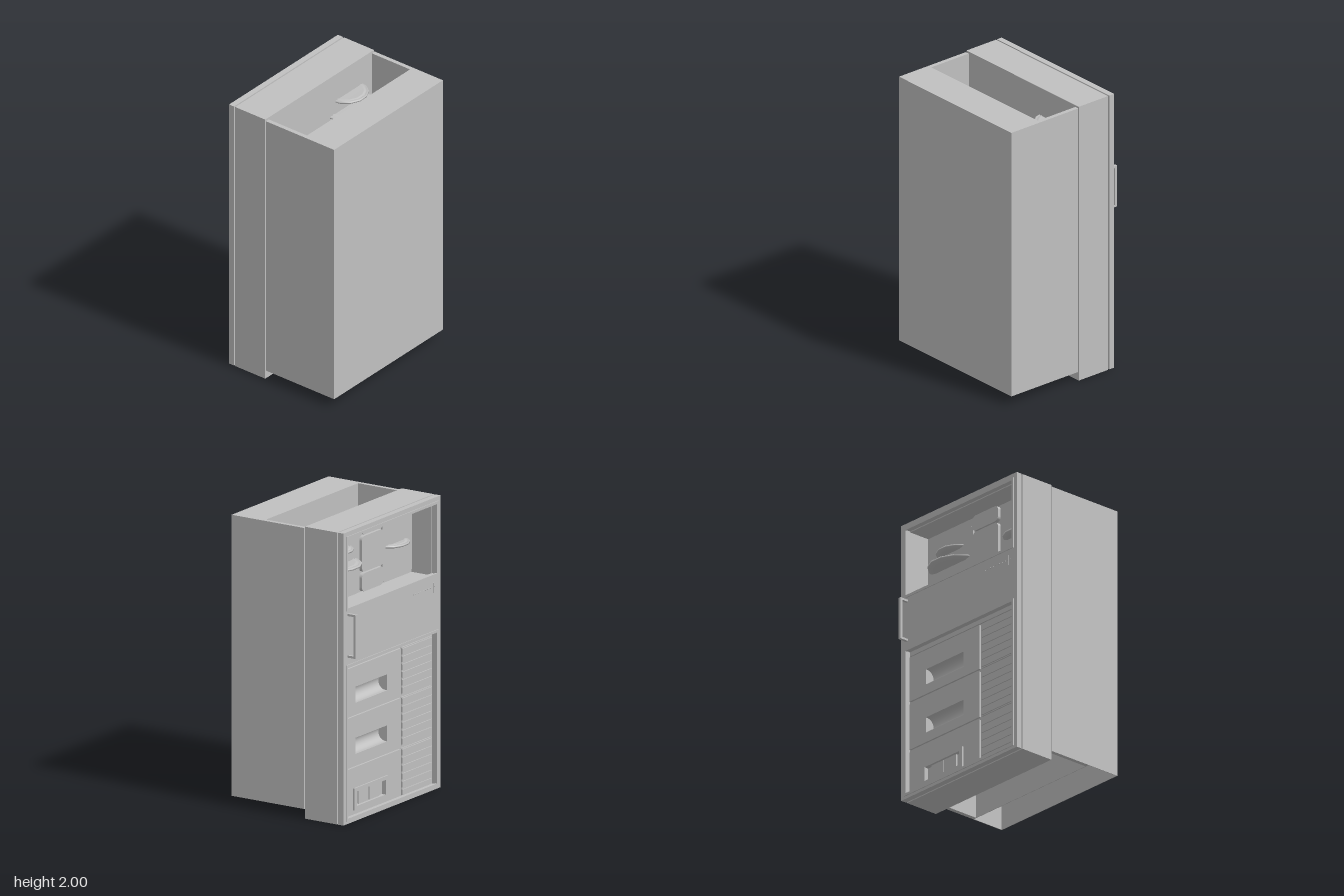
import * as THREE from 'three';

export function createModel() {
  const model = new THREE.Group();
  const grey = new THREE.MeshStandardMaterial({ color: 0xc0c0c0, side: THREE.DoubleSide });
  grey.name = 'cabinet grey';

  const add = (geometry, name, x = 0, y = 0, z = 0) => {
    const mesh = new THREE.Mesh(geometry, grey);
    mesh.name = name;
    mesh.position.set(x, y, z);
    model.add(mesh);
    return mesh;
  };
  // Box given by its limits on each axis
  const box = (name, x0, x1, y0, y1, z0, z1) =>
    add(new THREE.BoxGeometry(x1 - x0, y1 - y0, z1 - z0), name, (x0 + x1) / 2, (y0 + y1) / 2, (z0 + z1) / 2);
  const trace = (path, [x0, x1, y0, y1]) => {
    path.moveTo(x0, y0).lineTo(x1, y0).lineTo(x1, y1).lineTo(x0, y1).closePath();
    return path;
  };
  // Upright slab with rectangular openings
  const slab = (name, rect, holes, z0, z1) => {
    const shape = trace(new THREE.Shape(), rect);
    holes.forEach(h => shape.holes.push(trace(new THREE.Path(), h)));
    return add(new THREE.ExtrudeGeometry(shape, { depth: z1 - z0, bevelEnabled: false }), name, 0, 0, z0);
  };
  // Upright plate with rounded corners
  const roundedPlate = (name, x0, x1, y0, y1, z0, z1, r = 0.03) => {
    const s = new THREE.Shape();
    s.absarc(x1 - r, y1 - r, r, 0, Math.PI / 2);
    s.absarc(x0 + r, y1 - r, r, Math.PI / 2, Math.PI);
    s.absarc(x0 + r, y0 + r, r, Math.PI, Math.PI * 1.5);
    s.absarc(x1 - r, y0 + r, r, Math.PI * 1.5, Math.PI * 2);
    return add(new THREE.ExtrudeGeometry(s, { depth: z1 - z0, bevelEnabled: false, curveSegments: 4 }), name, 0, 0, z0);
  };

  // Rear casing: hollow housing, open underneath, with two side panels
  const t = 0.004;
  box('casingOuterWall', -0.57, 0.57, 0.065, 1.99, 0.48 - t, 0.48);
  box('casingInnerWall', -0.57, 0.57, 0.065, 1.99, 0.225, 0.225 + t);
  box('casingTop', -0.57, 0.57, 1.99 - t, 1.99, 0.225 + t, 0.48 - t);
  for (const s of [-1, 1]) {
    const a = s * 0.57, b = s * (0.57 - t), c = s * 0.54;
    box('casingEnd', Math.min(a, b), Math.max(a, b), 0.065, 1.99 - t, 0.225 + t, 0.48 - t);
    box('casingSidePanel', Math.min(a, c), Math.max(a, c), 0.065, 1.99, -0.1, 0.225);
  }

  // Main body with a window bay and drawer grips
  const bay = [-0.54, 0.54, 1.45, 1.96];
  const grips = [[0, 0.37, 0.79, 0.90], [0, 0.37, 0.44, 0.55], [0.02, 0.38, 0.08, 0.19]];
  slab('bodyFrame', [-0.57, 0.57, 0, 2], [bay, ...grips], -0.36, -0.2);
  box('bodyBack', -0.57, 0.57, 0, 2, -0.2, -0.105);

  // Door frame, with raised rims around its two openings
  const upper = [-0.53, 0.53, 1.47, 1.96], lower = [-0.53, 0.53, 0.03, 1.08];
  slab('doorFrame', [-0.57, 0.57, 0, 2], [upper, lower], -0.412, -0.37);
  for (const [x0, x1, y0, y1] of [upper, lower])
    slab('openingRim', [x0 - 0.01, x1 + 0.01, y0 - 0.01, y1 + 0.01],
      [[x0 + 0.008, x1 - 0.008, y0 + 0.008, y1 - 0.008]], -0.418, -0.405);

  // Three drawers, each with a grip opening and a slatted vent
  [[0.72, 1.04], [0.37, 0.70], [0.02, 0.35]].forEach(([y0, y1], i) => {
    slab('drawerFront', [-0.16, 0.53, y0, y1], [grips[i]], -0.374, -0.36);
    box('ventPanel', -0.53, -0.175, y0, y1, -0.368, -0.36);
    const step = (y1 - y0) / 6;
    for (let k = 0; k < 6; k++)
      box('ventSlat', -0.525, -0.18, y0 + k * step + 0.007, y0 + (k + 1) * step - 0.007, -0.376, -0.368);
  });
  box('drawerHeader', -0.53, 0.53, 1.05, 1.1, -0.37, -0.36);

  // Curved grips of the upper two drawers
  for (const [x0, x1, y0, y1] of grips.slice(0, 2)) {
    const scoop = new THREE.CylinderGeometry(0.055, 0.055, x1 - x0, 12, 1, true, -Math.PI / 2, Math.PI);
    scoop.rotateZ(Math.PI / 2);
    add(scoop, 'gripScoop', (x0 + x1) / 2, (y0 + y1) / 2, -0.36);
  }
  // Framed double grip of the lowest drawer
  slab('gripFrame', [0, 0.4, 0.06, 0.21], [[0.03, 0.37, 0.085, 0.185]], -0.384, -0.374);
  for (const x of [0.08, 0.205])
    box('gripPane', x, x + 0.118, 0.085, 0.185, -0.366, -0.355);
  box('gripBack', 0.02, 0.38, 0.08, 0.19, -0.345, -0.335);

  // Rounded panels lining the window bay
  roundedPlate('bayPanel', 0.085, 0.53, 1.455, 1.9, -0.212, -0.2);
  roundedPlate('bayPanel', -0.53, -0.185, 1.455, 1.9, -0.212, -0.2);
  for (const [y0, y1] of [[1.455, 1.58], [1.59, 1.835], [1.845, 1.955]])
    roundedPlate('bayColumn', -0.175, 0.075, y0, y1, -0.225, -0.2);

  // Flat reels set through the back of the bay
  const reel = (name, r, x, y) => {
    const profile = [[0, -0.015], [r * 0.8, -0.015], [r, -0.004], [r, 0.006], [r * 0.92, 0.012],
      [r * 0.88, 0.002], [r * 0.83, 0.015], [r * 0.76, 0.008], [0, 0.008]];
    const g = new THREE.LatheGeometry(profile.map(p => new THREE.Vector2(...p)), 14, Math.PI / 14);
    add(g, name, x, y, -0.135);
  };
  reel('largeReel', 0.208, 0.31, 1.69);
  reel('smallReel', 0.153, 0.31, 1.79);
  reel('smallReel', 0.153, -0.35, 1.69);

  // Indicator row and switch on the middle panel
  for (let i = 0; i < 10; i++)
    box('indicator', -0.26 - i * 0.028, -0.25 - i * 0.028, 1.387, 1.393, -0.415, -0.41);
  box('switchMark', -0.492, -0.486, 1.35, 1.42, -0.416, -0.41);

  // Door handle
  box('handleBar', 0.502, 0.522, 1.14, 1.44, -0.478, -0.46);
  for (const y of [1.14, 1.425])
    box('handleArm', 0.502, 0.522, y, y + 0.015, -0.46, -0.41);

  return model;
}
